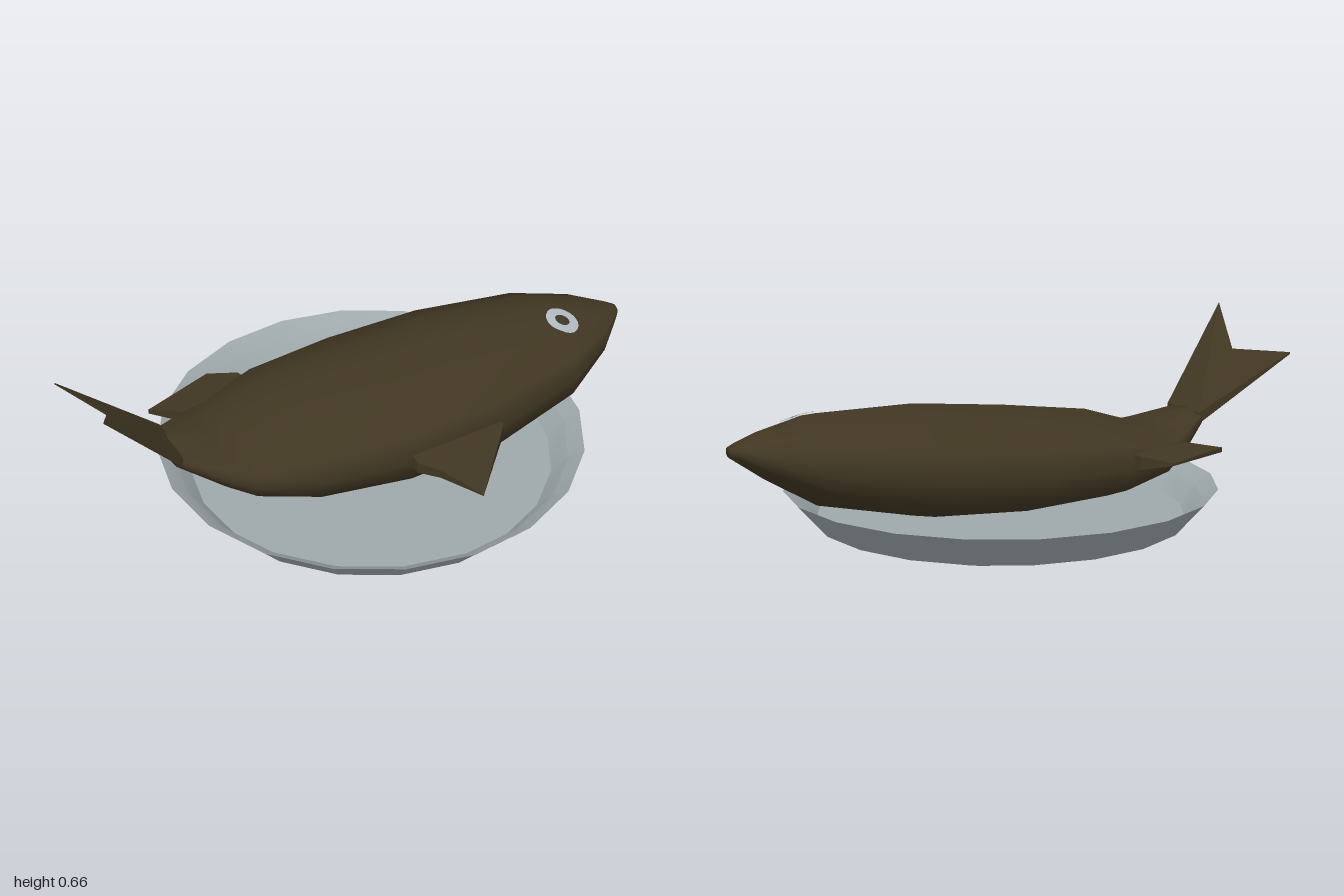
import * as THREE from 'three';
import { toCreasedNormals } from 'three/addons/utils/BufferGeometryUtils.js';

// Body stations from nose to tail: x, zMin, zMax, yBottom, yTop
const STATIONS = [
  [0.995, -0.022, 0.022, 0.34, 0.375],
  [0.97, -0.055, 0.05, 0.322, 0.385],
  [0.88, -0.15, 0.14, 0.258, 0.412],
  [0.7, -0.25, 0.24, 0.15, 0.455],
  [0.36, -0.335, 0.32, 0.075, 0.455],
  [0.03, -0.36, 0.33, 0.06, 0.42],
  [-0.28, -0.34, 0.287, 0.08, 0.378],
  [-0.48, -0.272, 0.218, 0.14, 0.315],
  [-0.57, -0.22, 0.17, 0.19, 0.325],
  [-0.71, -0.11, 0.085, 0.285, 0.35],
];
// Half cross-section, from the upper ridge round to the belly
const HALF = [[0, 1], [0.5, 0.8], [0.92, 0.47], [1, 0], [0.92, -0.5], [0.5, -0.82], [0, -1]];
const RING = [...HALF, ...HALF.slice(1, -1).reverse().map(([u, v]) => [-u, v])];

const lerp = THREE.MathUtils.lerp;

function bodyGeometry() {
  const pos = [], index = [], n = RING.length, last = STATIONS.length - 1;
  for (const [x, z0, z1, y0, y1] of STATIONS) {
    for (const [u, v] of RING) {
      pos.push(x, (y0 + y1) / 2 + v * (y1 - y0) / 2, (z0 + z1) / 2 + u * (z1 - z0) / 2);
    }
  }
  for (let i = 0; i < last; i++) {
    for (let j = 0; j < n; j++) {
      const a = i * n + j, b = i * n + (j + 1) % n;
      index.push(a, a + n, b, b, a + n, b + n);
    }
  }
  for (let j = 1; j < n - 1; j++) {
    index.push(0, j, j + 1);
    index.push(last * n, last * n + j + 1, last * n + j);
  }
  const g = new THREE.BufferGeometry();
  g.setAttribute('position', new THREE.Float32BufferAttribute(pos, 3));
  g.setIndex(index);
  g.computeVertexNormals();
  return g;
}

// Height of the body skin at (x, z), above (side 1) or below (side -1)
function skinHeight(x, z, side) {
  let i = 0;
  while (i < STATIONS.length - 2 && STATIONS[i + 1][0] > x) i++;
  const a = STATIONS[i], b = STATIONS[i + 1], t = (x - a[0]) / (b[0] - a[0]);
  const [, z0, z1, y0, y1] = a.map((v, k) => lerp(v, b[k], t));
  const u = Math.min(1, Math.abs(z - (z0 + z1) / 2) / ((z1 - z0) / 2));
  const half = side > 0 ? HALF : [...HALF].reverse();
  let k = 0;
  while (k < 2 && half[k + 1][0] < u) k++;
  const s = (u - half[k][0]) / (half[k + 1][0] - half[k][0]);
  return (y0 + y1) / 2 + lerp(half[k][1], half[k + 1][1], s) * (y1 - y0) / 2;
}

// Thin ring laid on the skin
function eyeGeometry(cx, cz, side) {
  const g = new THREE.RingGeometry(0.025, 0.057, 20, 2);
  g.rotateX(-side * Math.PI / 2);
  const p = g.attributes.position;
  for (let i = 0; i < p.count; i++) {
    const x = cx + p.getX(i), z = cz + p.getZ(i);
    p.setXYZ(i, x, skinHeight(x, z, side) + side * 0.007, z);
  }
  g.computeVertexNormals();
  return g;
}

// Tapered fin from an outline of [x, y, z, half thickness]
function finGeometry(outline) {
  const pos = [], n = outline.length;
  const put = (i, s) => {
    const [x, y, z, h] = outline[i];
    pos.push(x, y + s * h, z);
  };
  const flat = outline.map(([x, , z]) => new THREE.Vector2(x, -z));
  const ccw = !THREE.ShapeUtils.isClockWise(flat);
  for (const [a, b, c] of THREE.ShapeUtils.triangulateShape(flat, [])) {
    const up = THREE.ShapeUtils.area([flat[a], flat[b], flat[c]]) > 0;
    const t = up ? [a, b, c] : [a, c, b];
    t.forEach((i) => put(i, 1));
    t.reverse().forEach((i) => put(i, -1));
  }
  for (let i = 0; i < n; i++) {
    const j = (i + 1) % n, [a, b] = ccw ? [i, j] : [j, i];
    put(a, -1); put(b, -1); put(b, 1);
    put(a, -1); put(b, 1); put(a, 1);
  }
  const g = new THREE.BufferGeometry();
  g.setAttribute('position', new THREE.Float32BufferAttribute(pos, 3));
  g.computeVertexNormals();
  return g;
}

export function createModel() {
  const fishBrown = new THREE.MeshStandardMaterial({ color: 0x403622, side: THREE.DoubleSide });
  fishBrown.name = 'fishBrown';
  const plateGrey = new THREE.MeshStandardMaterial({ color: 0x9ea8ab });
  plateGrey.name = 'plateGrey';
  const eyeGrey = new THREE.MeshStandardMaterial({ color: 0xb0bac0, side: THREE.DoubleSide });
  eyeGrey.name = 'eyeGrey';

  const model = new THREE.Group();
  model.name = 'fishOnPlate';
  const add = (parent, name, geometry, material) => {
    const mesh = new THREE.Mesh(geometry, material);
    mesh.name = name;
    parent.add(mesh);
    return mesh;
  };

  // Shallow twenty-sided plate with a stepped inner rim
  const profile = [[0, 0], [0.5, 0], [0.635, 0.04], [0.733, 0.15], [0.68, 0.115], [0.625, 0.05], [0, 0.05]]
    .map(([r, y]) => new THREE.Vector2(r, y));
  const plate = add(model, 'plate', toCreasedNormals(new THREE.LatheGeometry(profile, 20), 0.35), plateGrey);
  plate.position.x = 0.03;

  // Fish lying on its side
  const fish = new THREE.Group();
  fish.name = 'fish';
  model.add(fish);
  add(fish, 'body', bodyGeometry(), fishBrown);
  add(fish, 'tailFin', finGeometry([
    [-0.69, 0.318, -0.11, 0.02], [-1, 0.54, -0.21, 0.003], [-0.9, 0.525, 0, 0.006],
    [-0.98, 0.66, 0.21, 0.003], [-0.69, 0.318, 0.09, 0.02],
  ]), fishBrown);
  add(fish, 'bellyFin', finGeometry([
    [0.02, 0.24, 0.28, 0.025], [0.02, 0.24, 0.36, 0.02], [0.07, 0.245, 0.43, 0.015],
    [0.13, 0.262, 0.605, 0.002], [0.36, 0.26, 0.33, 0.023], [0.36, 0.26, 0.28, 0.023],
  ]), fishBrown);
  add(fish, 'backFin', finGeometry([
    [-0.3, 0.25, -0.31, 0.025], [-0.31, 0.25, -0.35, 0.022], [-0.4, 0.25, -0.415, 0.004],
    [-0.66, 0.25, -0.305, 0.008], [-0.57, 0.25, -0.23, 0.02], [-0.54, 0.25, -0.2, 0.02],
  ]), fishBrown);
  add(fish, 'upperEye', eyeGeometry(0.73, 0.075, 1), eyeGrey);
  add(fish, 'lowerEye', eyeGeometry(0.755, 0.08, -1), eyeGrey);

  return model;
}
